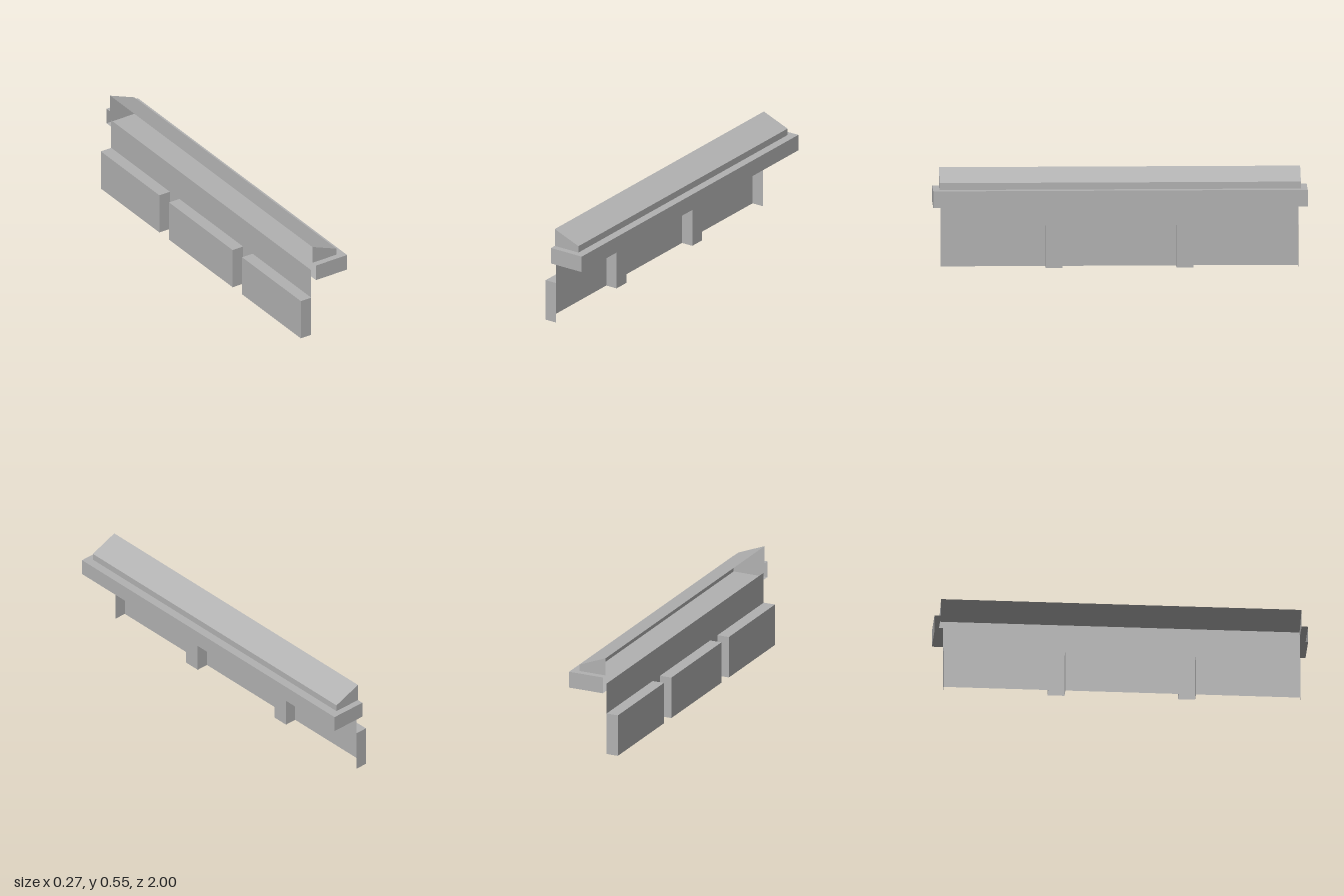
import * as THREE from 'three';

const stone = new THREE.MeshStandardMaterial({ color: 0xb2b2b2, side: THREE.DoubleSide });
stone.name = 'plain grey';

// Shared measurements
const BACK = -0.068;       // plane of the wall and the open back of the mouldings
const WALL_END = 0.955, WALL_TOP = 0.4, PANEL_TOP = 0.23, PANEL_X = -0.135;
const panelSpans = [[-WALL_END, -0.395], [-0.304, 0.304], [0.395, WALL_END]];

// Flat-shaded mesh made of four-cornered faces, corners listed counter-clockwise from outside
function faces(name, quads) {
  const points = [];
  for (const [a, b, c, d] of quads) points.push(...a, ...b, ...c, ...a, ...c, ...d);
  const geometry = new THREE.BufferGeometry();
  geometry.setAttribute('position', new THREE.Float32BufferAttribute(points, 3));
  geometry.computeVertexNormals();
  const mesh = new THREE.Mesh(geometry, stone);
  mesh.name = name;
  return mesh;
}

// Sweeps a profile of [x, y] points along z from -end to end
function strip(profile, end) {
  return profile.slice(1).map(([x1, y1], i) => {
    const [x0, y0] = profile[i];
    return [[x0, y0, end], [x0, y0, -end], [x1, y1, -end], [x1, y1, end]];
  });
}

// Closes both ends of a four-point profile
function caps(profile, end) {
  const front = profile.map(([x, y]) => [x, y, end]);
  const rear = profile.map(([x, y]) => [x, y, -end]).reverse();
  return [front, rear];
}

export function createModel() {
  const model = new THREE.Group();
  model.name = 'panelledLedge';

  // Thin wall, cut away behind each hollow panel
  const outline = new THREE.Shape();
  outline.moveTo(-WALL_END, WALL_TOP);
  for (const [z0, z1] of panelSpans) {
    if (z0 > -WALL_END) outline.lineTo(z0, 0);
    outline.lineTo(z0, PANEL_TOP);
    outline.lineTo(z1, PANEL_TOP);
    if (z1 < WALL_END) outline.lineTo(z1, 0);
  }
  outline.lineTo(WALL_END, WALL_TOP);
  const wall = new THREE.Mesh(
    new THREE.ShapeGeometry(outline).rotateY(-Math.PI / 2).translate(BACK, 0, 0), stone);
  wall.name = 'wall';
  model.add(wall);

  // Hollow panels, open underneath and on the inner side
  const section = [[PANEL_X, 0], [BACK, 0], [BACK, PANEL_TOP], [PANEL_X, PANEL_TOP]];
  for (const [z0, z1] of panelSpans) {
    const half = (z1 - z0) / 2;
    const panel = faces('raisedPanel', [
      ...strip([[BACK, PANEL_TOP], [PANEL_X, PANEL_TOP], [PANEL_X, 0]], half),
      ...caps(section, half),
    ]);
    panel.position.z = (z0 + z1) / 2;
    model.add(panel);
  }

  // Lower moulding: underside, face and ends
  const beam = [[BACK, 0.36], [0.133, 0.36], [0.133, 0.45], [BACK, 0.45]];
  model.add(faces('ledgeBeam', [...strip(beam.slice(0, 3), 1), ...caps(beam, 1)]));

  // Narrow top border around the open middle of the lower moulding
  const border = (x0, x1, z0, z1) =>
    [[x0, 0.45, z1], [x1, 0.45, z1], [x1, 0.45, z0], [x0, 0.45, z0]];
  model.add(faces('ledgeBorder', [
    border(0.087, 0.133, -1, 1),
    border(BACK, 0.087, 0.965, 1),
    border(BACK, 0.087, -1, -0.965),
  ]));

  // Sloped cap
  const cap = [[BACK, 0.45], [0.087, 0.45], [0.087, 0.487], [BACK, 0.548]];
  model.add(faces('slopedCap', [...strip(cap.slice(1), 0.965), ...caps(cap, 0.965)]));

  return model;
}
